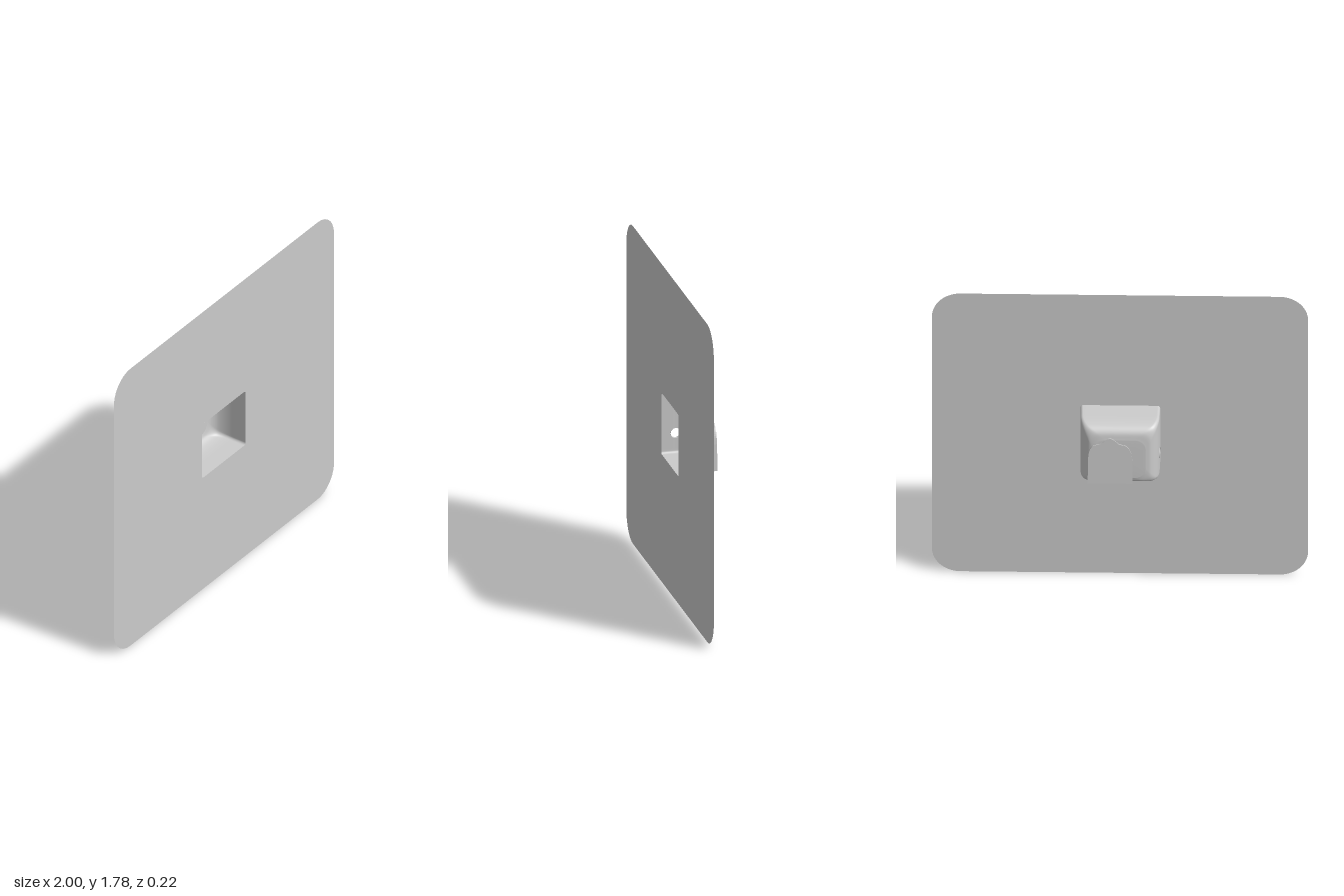
import * as THREE from 'three';

const FRONT = 0.11;
const PORT = { y: 0.826, z: 0.032, r: 0.028 }; // round hole through the right wall

const material = () => new THREE.MeshStandardMaterial({ color: 0xcccccc, side: THREE.DoubleSide });

function addMesh(group, name, geometry) {
  const mesh = new THREE.Mesh(geometry, material());
  mesh.name = name;
  group.add(mesh);
  return mesh;
}

// Rounded rectangle, counter-clockwise seen from the front
function ring(x0, x1, y0, y1, r, straight = 30, arc = 6) {
  const corners = [[x1 - r, y0 + r], [x1 - r, y1 - r], [x0 + r, y1 - r], [x0 + r, y0 + r]];
  const at = (c, a) => new THREE.Vector2(corners[c][0] + r * Math.cos(a), corners[c][1] + r * Math.sin(a));
  const points = [];
  for (let c = 0; c < 4; c++) {
    const start = (c - 1) * Math.PI / 2;
    for (let k = 0; k <= arc; k++) points.push(at(c, start + k / arc * Math.PI / 2));
    const from = at(c, start + Math.PI / 2), to = at((c + 1) % 4, start + Math.PI / 2);
    for (let k = 1; k < straight; k++) points.push(from.clone().lerp(to, k / straight));
  }
  return points;
}

// Inset profile along the depth: x = side inset, y = top inset, z = depth
const profile = new THREE.CatmullRomCurve3([
  [0, 0, 0.11], [0.001, 0.001, 0.055], [0.003, 0.003, 0], [0.011, 0.009, -0.04],
  [0.024, 0.021, -0.07], [0.046, 0.045, -0.091], [0.075, 0.085, -0.1],
].map(p => new THREE.Vector3(...p)), false, 'centripetal');

// Open-fronted shell with softly rounded back; wall moves it inwards, back scales its depth
function shellGeometry(wall, depthScale, inward) {
  const rows = profile.getPoints(60).map(p => ({
    z: FRONT + (p.z - FRONT) * depthScale,
    points: ring(-0.214 + wall + p.x, 0.21 - wall - p.x, 0.7 + wall + p.y * 0.6, 1.073 - wall - p.y,
      0.014 + p.x * 0.6),
  }));
  // Close the back with rings shrinking to the middle
  const last = rows[rows.length - 1];
  const centre = new THREE.Vector2(0, 0.875);
  for (const s of [0.7, 0.35, 0]) {
    rows.push({ z: last.z - 0.002 * (1 - s), points: last.points.map(p => centre.clone().lerp(p, s)) });
  }

  const positions = [], inHole = [], index = [], n = last.points.length;
  for (const row of rows) {
    for (const p of row.points) {
      // Snap vertices inside the port onto its rim
      let y = p.y, z = row.z;
      const dy = y - PORT.y, dz = z - PORT.z, d = Math.hypot(dy, dz);
      const inside = p.x < -0.18 && d < PORT.r;
      if (inside) {
        const s = PORT.r / Math.max(d, 1e-5);
        y = PORT.y + dy * s;
        z = PORT.z + dz * s;
      }
      inHole.push(inside);
      positions.push(p.x, y, z);
    }
  }
  const face = (a, b, c) => {
    if (inHole[a] && inHole[b] && inHole[c]) return;
    if (inward) index.push(a, c, b);
    else index.push(a, b, c);
  };
  for (let i = 0; i < rows.length - 1; i++) {
    for (let j = 0; j < n; j++) {
      const a = i * n + j, b = i * n + (j + 1) % n;
      face(a, a + n, b);
      face(b, a + n, b + n);
    }
  }
  const geometry = new THREE.BufferGeometry();
  geometry.setAttribute('position', new THREE.Float32BufferAttribute(positions, 3));
  geometry.setIndex(index);
  geometry.computeVertexNormals();
  return geometry;
}

export function createModel() {
  const group = new THREE.Group();
  group.name = 'recessedWallBox';
  const wall = 0.014;

  // Flat face plate with the box opening cut out
  const plate = new THREE.Shape(ring(-1, 1, 0, 1.78, 0.15, 1, 10));
  plate.holes.push(new THREE.Path(ring(-0.214 + wall, 0.21 - wall, 0.7 + wall, 1.073 - wall, 0.014, 1).reverse()));
  addMesh(group, 'facePlate', new THREE.ShapeGeometry(plate)).position.z = FRONT;

  // Box walls
  addMesh(group, 'outerShell', shellGeometry(0, 1, false));
  addMesh(group, 'innerShell', shellGeometry(wall, 0.952, true));

  // Sleeve lining the port in the right wall
  const sleeve = addMesh(group, 'portSleeve', new THREE.CylinderGeometry(PORT.r, PORT.r, 0.02, 32, 1, true));
  sleeve.rotation.z = Math.PI / 2;
  sleeve.position.set(-0.205, PORT.y, PORT.z);

  // Arched pad on the back, leaning slightly outwards at its foot
  const arch = new THREE.Shape();
  arch.moveTo(-0.07, 0.72);
  arch.lineTo(0.168, 0.72);
  arch.lineTo(0.166, 0.87);
  arch.splineThru([[0.16, 0.92], [0.14, 0.955], [0.1, 0.967], [0.075, 0.99], [0.048, 1.002],
    [0.02, 0.985], [0, 0.967], [-0.04, 0.953], [-0.062, 0.915], [-0.07, 0.86]]
    .map(p => new THREE.Vector2(...p)));
  arch.closePath();
  const pad = new THREE.ExtrudeGeometry(arch, { depth: 0.021, bevelEnabled: false, curveSegments: 4 });
  pad.translate(0, 0, -0.11);
  const pos = pad.attributes.position;
  for (let i = 0; i < pos.count; i++) {
    if (pos.getZ(i) < -0.1) pos.setZ(i, -0.11 + (pos.getY(i) - 0.72) * 0.022);
  }
  pad.computeVertexNormals();
  addMesh(group, 'backPad', pad);

  return group;
}
